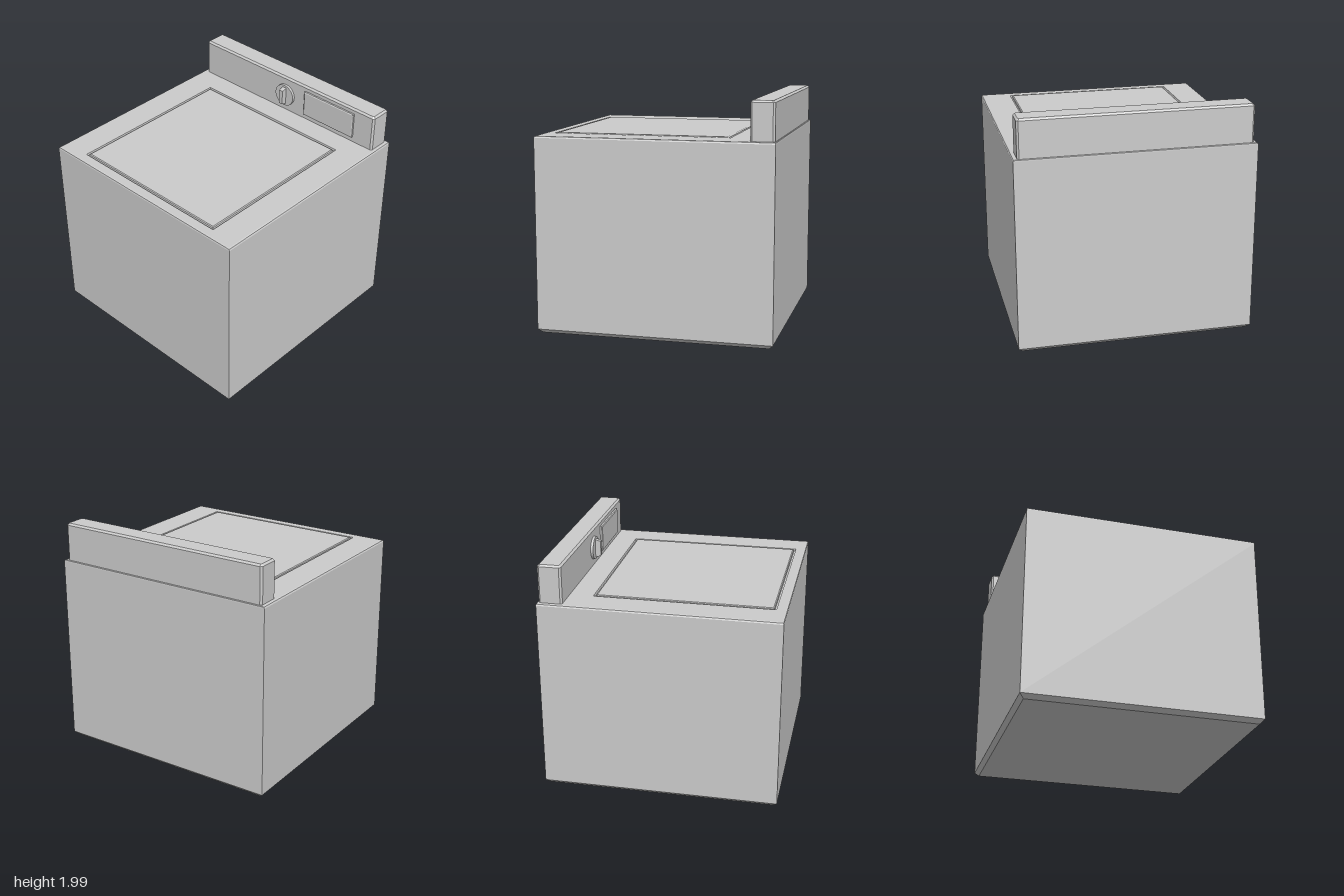
import * as THREE from 'three';

const grey = new THREE.MeshStandardMaterial({ color: 0xcccccc, flatShading: true });

// Horizontal rectangle at height y with optional cut corners c, counterclockwise from above
function ring(y, x0, x1, z0, z1, c = 0) {
  const p = c
    ? [[x0 + c, z1], [x1 - c, z1], [x1, z1 - c], [x1, z0 + c], [x1 - c, z0], [x0 + c, z0], [x0, z0 + c], [x0, z1 - c]]
    : [[x0, z1], [x1, z1], [x1, z0], [x0, z0]];
  return p.map(([x, z]) => [x, y, z]);
}

// Skin a stack of rings and close both ends
function loft(rings) {
  const pos = [];
  const tri = (a, b, c) => pos.push(...a, ...b, ...c);
  const n = rings[0].length, top = rings[rings.length - 1], bottom = rings[0];
  for (let r = 0; r < rings.length - 1; r++) {
    for (let i = 0; i < n; i++) {
      const j = (i + 1) % n, lo = rings[r], hi = rings[r + 1];
      tri(lo[i], lo[j], hi[j]);
      tri(lo[i], hi[j], hi[i]);
    }
  }
  for (let i = 1; i < n - 1; i++) {
    tri(bottom[0], bottom[i + 1], bottom[i]);
    tri(top[0], top[i], top[i + 1]);
  }
  const g = new THREE.BufferGeometry();
  g.setAttribute('position', new THREE.Float32BufferAttribute(pos, 3));
  g.computeVertexNormals();
  return g;
}

export function createModel() {
  const model = new THREE.Group();
  model.name = 'washingMachine';
  const add = (name, geometry, x = 0, y = 0, z = 0) => {
    const m = new THREE.Mesh(geometry, grey);
    m.name = name;
    m.position.set(x, y, z);
    model.add(m);
    return m;
  };

  // Cabinet with chamfered base, eased top edge and a groove around the lid
  add('cabinet', loft([
    ring(0, -0.965, 0.965, -0.965, 0.965),
    ring(0.035, -1, 1, -1, 1),
    ring(1.652, -1, 1, -1, 1),
    ring(1.664, -0.994, 0.994, -0.999, 0.996),
    ring(1.668, -0.982, 0.982, -0.995, 0.985),
    ring(1.668, -0.742, 0.742, -0.592, 0.91),
    ring(1.65, -0.738, 0.738, -0.588, 0.906),
    ring(1.65, -0.726, 0.726, -0.574, 0.894),
    ring(1.666, -0.724, 0.724, -0.572, 0.892),
    ring(1.672, -0.716, 0.716, -0.558, 0.884),
  ]));

  // Control console along the back
  add('console', loft([
    ring(1.66, -0.966, 0.966, -0.988, -0.79, 0.016),
    ring(1.975, -0.966, 0.966, -0.988, -0.79, 0.016),
    ring(1.991, -0.95, 0.95, -0.972, -0.806, 0.008),
  ]));

  // Dial plate and its tapered grip
  add('dialPlate', new THREE.CylinderGeometry(0.1, 0.1, 0.03, 48).rotateX(Math.PI / 2), 0, 1.82, -0.783);
  add('dialGrip', loft([
    ring(0, -0.02, 0.02, -0.08, 0.08),
    ring(0.048, -0.019, 0.019, -0.066, 0.066),
  ]).rotateX(Math.PI / 2), 0, 1.82, -0.769);

  // Raised panel with a bevelled rim
  add('controlPanel', loft([
    ring(0, -0.27, 0.27, -0.115, 0.115),
    ring(0.018, -0.27, 0.27, -0.115, 0.115),
    ring(0.024, -0.262, 0.262, -0.107, 0.107),
  ]).rotateX(Math.PI / 2), 0.492, 1.828, -0.793);

  return model;
}
